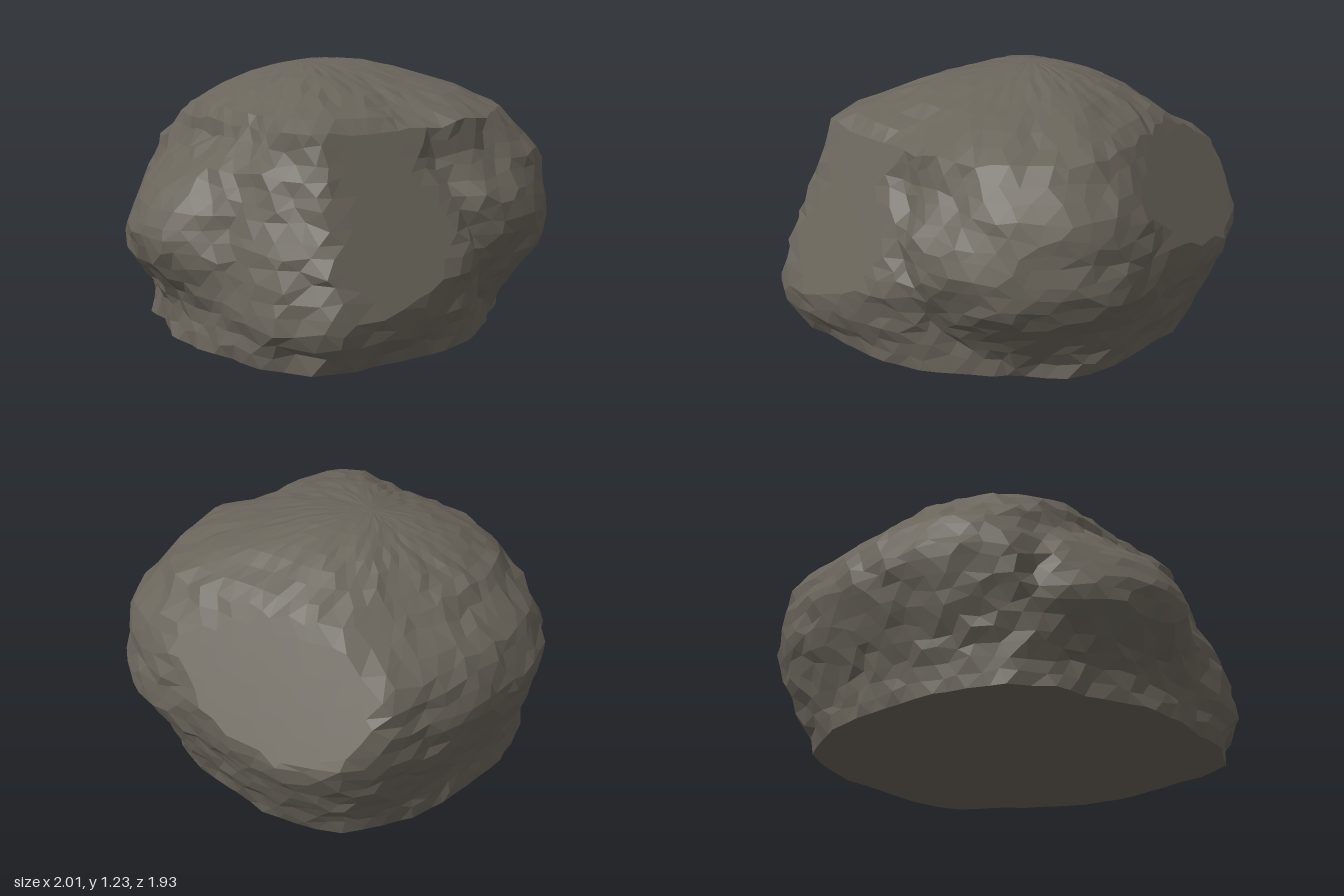
import * as THREE from 'three';

// Horizontal radii every 22.5 degrees (from +x towards +z) at each height
const LEVELS = [0, 0.2, 0.42, 0.62, 0.82, 1.0];
const RINGS = [
  [.82, .86, .80, .82, .86, .93, 1.05, .91, .85, .85, .86, .83, .81, .84, .92, .87],
  [.90, .93, .92, .87, .91, 1.04, 1.12, .91, .85, .87, .87, .86, .83, .89, 1.0, .96],
  [.98, 1.06, 1.05, .94, .93, 1.02, 1.07, .91, 1.0, .98, .92, .92, .92, .97, 1.09, 1.03],
  [.98, 1.06, 1.06, .96, .89, .94, .98, .86, .95, .92, .92, .96, .96, 1.0, 1.13, 1.05],
  [.88, 1.0, 1.0, .83, .77, .82, .92, .78, .75, .77, .85, .88, .87, .92, 1.06, .96],
  [.74, .85, .82, .77, .73, .77, .83, .68, .63, .66, .72, .70, .67, .69, .75, .74],
];
const SEG = 60, SIDE_ROWS = 16, CAP_ROWS = 9;

function seeded(seed) {
  return () => {
    seed = (seed * 16807) % 2147483647;
    return seed / 2147483647 - 0.5;
  };
}

function cubic(a, b, c, d, t) {
  return b + 0.5 * t * (c - a + t * (2 * a - 5 * b + 4 * c - d + t * (3 * (b - c) + d - a)));
}

// Smooth radius around one ring
function around(ring, angle) {
  const n = ring.length;
  const u = ((angle / (Math.PI * 2)) * n + n) % n;
  const i = Math.floor(u);
  const at = (k) => ring[(i + k + n) % n];
  return cubic(at(-1), at(0), at(1), at(2), u - i);
}

// Smooth radius between rings
function radiusAt(angle, y) {
  const last = LEVELS.length - 1;
  let i = 0;
  while (i < last - 1 && y > LEVELS[i + 1]) i++;
  const t = (y - LEVELS[i]) / (LEVELS[i + 1] - LEVELS[i]);
  const at = (k) => around(RINGS[Math.min(last, Math.max(0, k))], angle);
  return cubic(at(i - 1), at(i), at(i + 1), at(i + 2), t);
}

// Push a point back onto a flat broken face
function chop(p, normal, d) {
  const over = normal.dot(p) - d;
  if (over > 0) p.addScaledVector(normal, -over / normal.lengthSq());
}

const bell = (v, width) => Math.exp(-(v * v) / (width * width));
const RIGHT_FACE = new THREE.Vector3(0.8, 0.5, -0.25);
const FRONT_FACE = new THREE.Vector3(-0.1, 0.4, 1);

// Cracks, lumps and broken faces
function weather(p, rand, rough) {
  const out = new THREE.Vector3(p.x, (p.y - 0.5) * 0.8, p.z).normalize();
  let push = 0.008 * Math.sin(7 * p.x + 5 * p.y) * Math.sin(8 * p.z - 4 * p.y + 1) + rand() * rough;
  // crack cutting off the ledge on the -x side
  push -= 0.05 * bell(p.x + 0.64 + 0.14 * (1 - p.y), 0.045);
  // groove and hollow in the front
  if (p.z > 0.45) {
    push -= 0.06 * bell(p.x - 0.02 - 0.36 * (0.95 - p.y), 0.07) * bell(p.y - 0.65, 0.4);
    push -= 0.05 * bell(p.x - 0.45, 0.3) * bell(p.y - 0.16, 0.14);
  }
  p.addScaledVector(out, push);
  chop(p, RIGHT_FACE, 1.1);
  if (p.x < 0.05) chop(p, FRONT_FACE, 1.095);
}

function boulderGeometry() {
  const rand = seeded(4711);
  const pos = [], index = [];
  const rows = SIDE_ROWS + CAP_ROWS;

  for (let j = 0; j < rows; j++) {
    const k = j > SIDE_ROWS ? 1 - (j - SIDE_ROWS) / CAP_ROWS : 1;
    for (let i = 0; i < SEG; i++) {
      const angle = ((i + (j % 2) * 0.5 + rand() * 0.5 * k) / SEG) * Math.PI * 2;
      let y = Math.min(1, j / SIDE_ROWS);
      if (j > 0 && j <= SIDE_ROWS) y += rand() * 0.035;
      const r = radiusAt(angle, y) * k;
      // low crown, fuller on the +x side, its peak a little behind the middle
      if (j > SIDE_ROWS) y = 1 + 0.23 * (1 - k ** (1.7 + 0.6 * Math.max(0, Math.cos(angle))));
      const p = new THREE.Vector3(Math.cos(angle) * r, y, Math.sin(angle) * r - 0.15 * (1 - k));
      weather(p, rand, 0.026 * k);
      pos.push(p.x, j === 0 ? 0 : p.y, p.z);
    }
  }
  const bottom = rows * SEG, top = bottom + 1;
  pos.push(0, 0, 0, 0, 1.23, -0.15);

  // Sides and crown, with alternating diagonals on the staggered rows
  for (let i = 0; i < SEG; i++) {
    const n = (i + 1) % SEG;
    for (let j = 0; j < rows - 1; j++) {
      const a = j * SEG + i, b = j * SEG + n, d = a + SEG, c = b + SEG;
      if (j % 2) index.push(a, d, c, a, c, b);
      else index.push(a, d, b, b, d, c);
    }
    index.push(bottom, i, n);
    index.push(top, (rows - 1) * SEG + n, (rows - 1) * SEG + i);
  }

  const geo = new THREE.BufferGeometry();
  geo.setAttribute('position', new THREE.Float32BufferAttribute(pos, 3));
  geo.setIndex(index);
  const flat = geo.toNonIndexed();
  flat.computeVertexNormals();
  return flat;
}

export function createModel() {
  const model = new THREE.Group();
  const stone = new THREE.MeshStandardMaterial({ color: 0x6a655b, flatShading: true });
  const boulder = new THREE.Mesh(boulderGeometry(), stone);
  boulder.name = 'boulder';
  model.add(boulder);
  return model;
}
